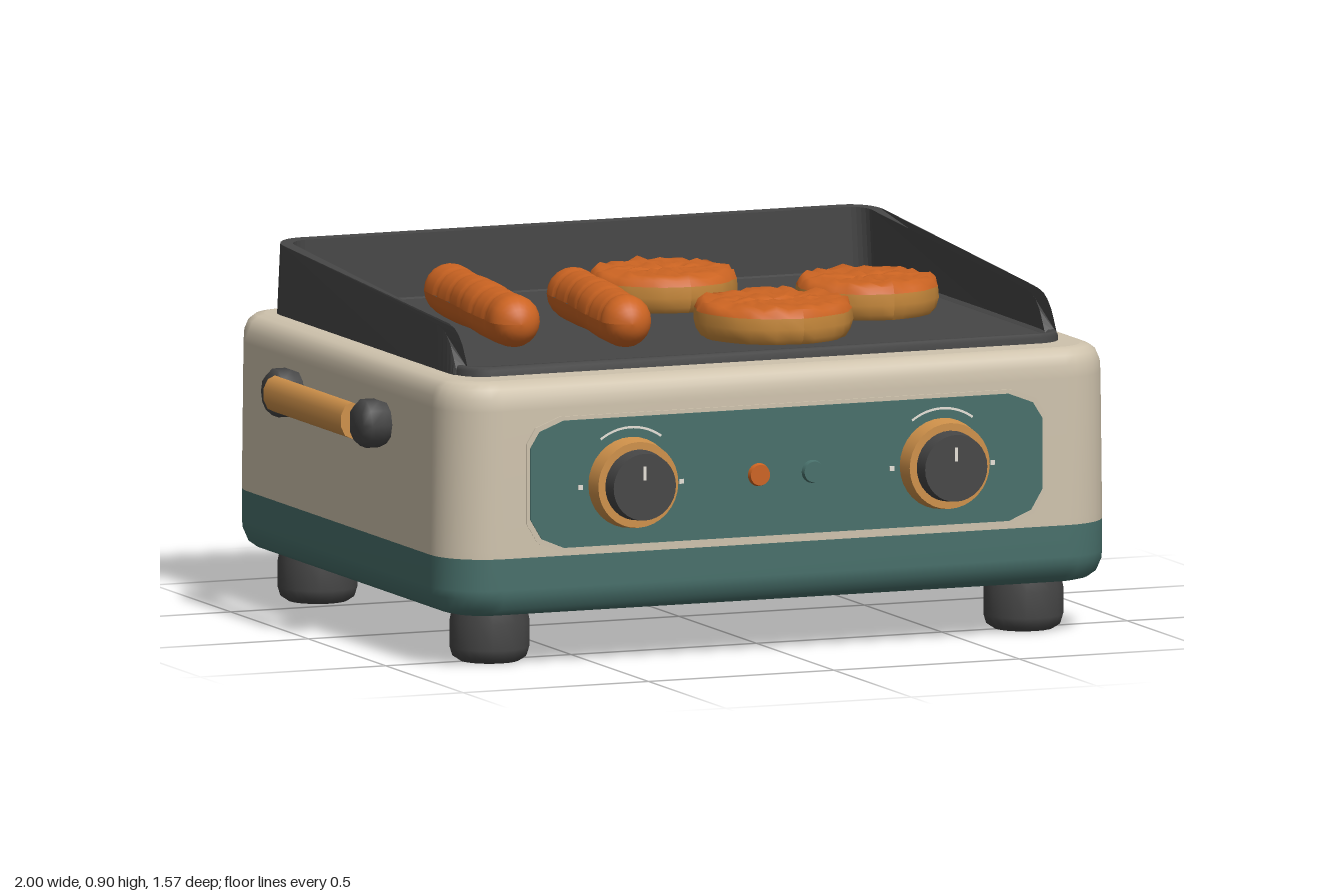
import * as THREE from 'three';

const mat = (name, color, extra = {}) => Object.assign(new THREE.MeshStandardMaterial({ color, ...extra }), { name });

export function createModel() {
  const group = new THREE.Group();
  group.name = 'tableGriddle';
  const cream = mat('cream enamel', 0xcfc3ad);
  const teal = mat('teal enamel', 0x48706b);
  const dark = mat('dark iron', 0x464646);
  const wood = mat('light wood', 0xcf914a);
  const orange = mat('grilled orange', 0xcc6422);
  const tan = mat('patty side', 0xc98a3c);
  const white = mat('white marking', 0xe6e2d8);

  const add = (name, geo, material, x = 0, y = 0, z = 0, parent = group) => {
    const m = new THREE.Mesh(geo, material);
    m.name = name;
    m.position.set(x, y, z);
    parent.add(m);
    return m;
  };

  // Stack of rounded rectangles, each [height, inset], with optional end caps
  const loft = (hw, hd, radius, levels, bottomCap, topCap) => {
    const pos = [], idx = [], n = 32;
    const ring = ([y, inset]) => {
      const r = Math.max(radius - inset, 0.015);
      for (let i = 0; i < n; i++) {
        const q = Math.floor(i / 8), a = (q + (i % 8) / 7) * Math.PI / 2;
        const sx = q === 0 || q === 3 ? 1 : -1, sz = q < 2 ? 1 : -1;
        pos.push(sx * (hw - inset - r) + r * Math.cos(a), y, sz * (hd - inset - r) + r * Math.sin(a));
      }
    };
    levels.forEach(ring);
    for (let k = 0; k < levels.length - 1; k++)
      for (let i = 0; i < n; i++) {
        const a = k * n + i, b = k * n + (i + 1) % n;
        idx.push(a, a + n, b, b, a + n, b + n);
      }
    const cap = (level, up) => {
      const s = pos.length / 3;
      ring(level);
      pos.push(0, level[0], 0);
      for (let i = 0; i < n; i++) {
        const a = s + i, b = s + (i + 1) % n;
        idx.push(s + n, up ? b : a, up ? a : b);
      }
    };
    if (bottomCap) cap(levels[0], false);
    if (topCap) cap(levels[levels.length - 1], true);
    const g = new THREE.BufferGeometry();
    g.setAttribute('position', new THREE.Float32BufferAttribute(pos, 3));
    g.setIndex(idx);
    g.computeVertexNormals();
    return g;
  };

  // Housing: teal base and cream upper shell
  add('lowerHousing', loft(0.9, 0.735, 0.14,
    [[0.13, 0.06], [0.136, 0.035], [0.15, 0.015], [0.18, 0.002], [0.2, 0], [0.28, 0]], true, false), teal, 0, 0, -0.045);
  add('upperHousing', loft(0.9, 0.735, 0.14,
    [[0.28, 0], [0.3, 0], [0.65, 0.004], [0.68, 0.006], [0.704, 0.016], [0.717, 0.033], [0.721, 0.055]], false, true), cream, 0, 0, -0.045);

  // Cooking plate with a low rim
  add('cookingPlate', loft(0.81, 0.63, 0.07,
    [[0.7, 0], [0.735, 0], [0.744, 0.006], [0.744, 0.02], [0.734, 0.035]], false, true), dark, 0, 0, -0.067);

  // Splash guard: U-shaped wall whose top slopes down to the front
  const zs = [0.5, 0.485, 0.465, 0.44, 0.415, 0.38, 0.3];
  const tops = [0.735, 0.76, 0.79, 0.812, 0.825, 0.832, 0.838];
  const topAt = z => {
    if (z <= 0.3) return 0.838 + (0.3 - z) / 1.0 * 0.062;
    for (let i = 1; i < zs.length; i++)
      if (z >= zs[i] - 1e-6) return tops[i] + (tops[i - 1] - tops[i]) * (z - zs[i]) / (zs[i - 1] - zs[i]);
    return 0.838;
  };
  const wallSide = (hw, back, r) => {
    const half = zs.map(z => [hw, z]);
    for (let i = 0; i <= 6; i++) {
      const a = i / 6 * Math.PI / 2;
      half.push([hw - r + r * Math.cos(a), back + r - r * Math.sin(a)]);
    }
    return [...half, ...half.map(([x, z]) => [-x, z]).reverse()].map(p => new THREE.Vector2(p[0], -p[1]));
  };
  const guard = new THREE.ExtrudeGeometry(
    new THREE.Shape([...wallSide(0.82, -0.7, 0.08), ...wallSide(0.788, -0.668, 0.05).reverse()]),
    { depth: 1, bevelEnabled: false });
  guard.rotateX(-Math.PI / 2);
  const gp = guard.attributes.position;
  for (let i = 0; i < gp.count; i++) {
    const t = gp.getY(i), z = gp.getZ(i);
    gp.setY(i, 0.7 + t * (topAt(z) - 0.7));
    gp.setX(i, gp.getX(i) * (1 - 0.012 * t));
  }
  guard.computeVertexNormals();
  add('splashGuard', guard, dark);

  // Feet
  const footProfile = [[0, 0], [0.075, 0], [0.093, 0.012], [0.1, 0.035], [0.1, 0.1], [0.092, 0.14]]
    .map(p => new THREE.Vector2(...p));
  for (const x of [-0.72, 0.72])
    for (const z of [0.5, -0.61]) add('foot', new THREE.LatheGeometry(footProfile, 20), dark, x, 0, z);

  // Control panel with a narrow surround
  const panelShape = o => new THREE.Shape([[-0.6, 0.3], [0.6, 0.3], [0.66, 0.325], [0.69, 0.375], [0.69, 0.555],
    [0.665, 0.595], [0.6, 0.62], [-0.6, 0.62], [-0.665, 0.595], [-0.69, 0.555], [-0.69, 0.375], [-0.66, 0.325]]
    .map(([x, y]) => new THREE.Vector2(x + Math.sign(x) * o, y + Math.sign(y - 0.46) * o)));
  const plate = (o, depth) => new THREE.ExtrudeGeometry(panelShape(o), { depth, bevelEnabled: false });
  add('panelSurround', plate(0.01, 0.009), cream, 0, 0, 0.682);
  add('controlPanel', plate(0, 0.009), teal, 0, 0, 0.685);

  // Knobs and their markings
  const disc = (r1, r2, depth) => new THREE.CylinderGeometry(r1, r2, depth, 32).rotateX(Math.PI / 2);
  for (const x of [-0.42, 0.42]) {
    const knob = new THREE.Group();
    knob.name = 'knob';
    knob.position.set(x, 0.455, 0);
    group.add(knob);
    add('knobRing', disc(0.108, 0.116, 0.06), wood, 0, 0, 0.713, knob);
    add('knobCap', disc(0.084, 0.09, 0.05), dark, 0, 0, 0.76, knob);
    add('knobPointer', new THREE.BoxGeometry(0.008, 0.035, 0.004), white, 0, 0.035, 0.785, knob);
    add('dialArc', new THREE.RingGeometry(0.136, 0.142, 24, 1, Math.PI * 0.3, Math.PI * 0.4), white, 0, 0, 0.6955, knob);
    for (const s of [-1, 1])
      add('dialTick', new THREE.BoxGeometry(0.012, 0.012, 0.003), white, s * 0.136, -0.005, 0.695, knob);
  }

  // Indicator lights
  add('heatLight', disc(0.026, 0.03, 0.016), orange, -0.075, 0.455, 0.698);
  add('readyLight', disc(0.026, 0.03, 0.016), teal, 0.07, 0.455, 0.698);

  // Side handles
  for (const s of [-1, 1]) {
    const bar = new THREE.CylinderGeometry(0.046, 0.046, 0.5, 10).rotateX(Math.PI / 2).scale(0.7, 1, 1);
    add('handleBar', bar, wood, s * 0.967, 0.575, -0.045);
    for (const z of [0.243, -0.325]) {
      const profile = [[0.05, -0.05], [0.062, -0.02], [0.062, 0.015], [0.045, 0.035], [0, 0.037]]
        .map(p => new THREE.Vector2(...p));
      const mount = add('handleMount', new THREE.LatheGeometry(profile, 10), dark, s * 0.938, 0.572, z);
      mount.rotation.z = -s * Math.PI / 2;
    }
  }

  // Sausages with shallow scored tops
  const sausage = (x0, z0, x1, z1) => {
    const r = 0.066, len = Math.hypot(x1 - x0, z1 - z0);
    const g = new THREE.CapsuleGeometry(r, len - 2 * r, 8, 20, 48).rotateX(Math.PI / 2);
    const p = g.attributes.position;
    for (let i = 0; i < p.count; i++) {
      const x = p.getX(i), y = p.getY(i), z = p.getZ(i);
      const score = y > 0 && Math.abs(z) < len / 2 - r ? Math.max(0, Math.cos((z + x * 0.3) * 60) - 0.8) * 0.35 : 0;
      const k = 1 - score + 0.03 * Math.sin(z * 19 + y * 25);
      p.setXY(i, x * k, y * k);
    }
    g.computeVertexNormals();
    const m = add('sausage', g, orange, (x0 + x1) / 2, 0.8, (z0 + z1) / 2);
    m.rotation.y = Math.atan2(x1 - x0, z1 - z0);
  };
  sausage(-0.462, -0.415, -0.538, 0.27);
  sausage(-0.2, -0.245, -0.28, 0.37);

  // Patties: tan sides with a rough browned top
  const lumpy = (points, r, amount) => {
    const g = new THREE.LatheGeometry(points.map(([a, y]) => new THREE.Vector2(a * r, y)), 36);
    const p = g.attributes.position;
    for (let i = 0; i < p.count; i++) {
      const x = p.getX(i), z = p.getZ(i), y = p.getY(i);
      const n = Math.sin(x * 97 + z * 53 + r * 70) * Math.sin(z * 89 - x * 41);
      const k = 1 + 0.02 * n;
      p.setXYZ(i, x * k, y + (y > 0.07 ? n * amount : 0), z * k);
    }
    g.computeVertexNormals();
    return g;
  };
  for (const [x, z, r] of [[0.1, -0.345, 0.185], [0.52, -0.03, 0.178], [0.15, 0.25, 0.197]]) {
    add('pattySide', lumpy([[0.9, 0], [0.97, 0.015], [1, 0.04], [0.99, 0.068]], r, 0), tan, x, 0.733, z);
    add('pattyTop', lumpy([[0.99, 0.068], [0.95, 0.084], [0.87, 0.092], [0.74, 0.092], [0.6, 0.092],
      [0.46, 0.092], [0.32, 0.092], [0.16, 0.092], [0, 0.092]], r, 0.009), orange, x, 0.733, z);
  }

  return group;
}
